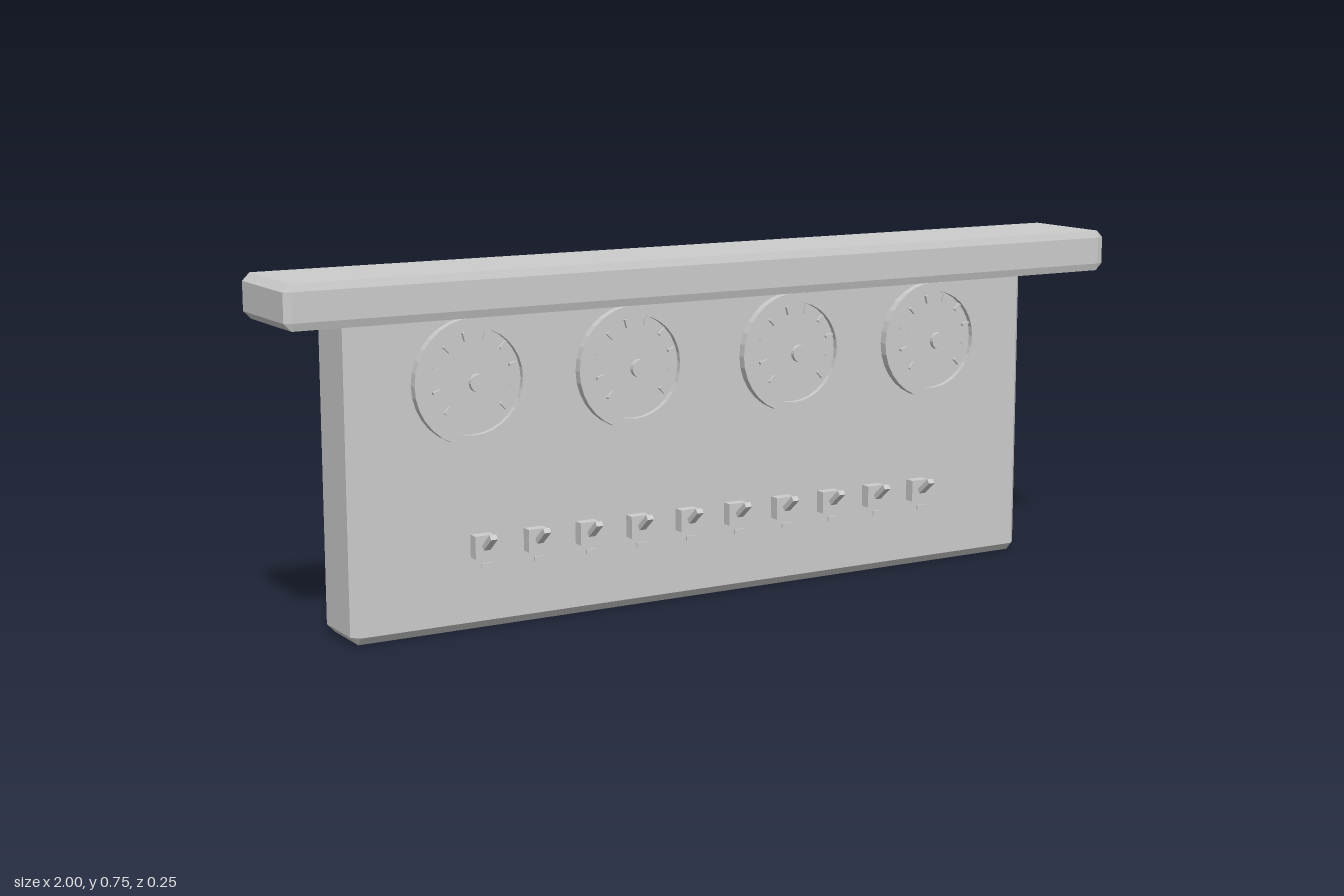
import * as THREE from 'three';
import { ConvexGeometry } from 'three/addons/geometries/ConvexGeometry.js';

const grey = new THREE.MeshStandardMaterial({ color: 0xcccccc });
grey.name = 'plain grey';

function add(parent, name, geometry, x = 0, y = 0, z = 0) {
  const mesh = new THREE.Mesh(geometry, grey);
  mesh.name = name;
  mesh.position.set(x, y, z);
  parent.add(mesh);
  return mesh;
}

// Box with every edge cut off; c is the cut along each axis
function chamferBox(w, h, d, c) {
  const half = [w / 2, h / 2, d / 2];
  const points = [];
  for (const sx of [-1, 1]) for (const sy of [-1, 1]) for (const sz of [-1, 1]) {
    const s = [sx, sy, sz];
    for (let face = 0; face < 3; face++) {
      points.push(new THREE.Vector3(...half.map((v, i) => s[i] * (i === face ? v : v - c[i]))));
    }
  }
  return new ConvexGeometry(points);
}

function flat(geometry) {
  const g = geometry.toNonIndexed();
  g.computeVertexNormals();
  return g;
}

// Shared gauge and switch parts
const rimProfile = [[0.131, 0.03], [0.131, 0.052], [0.11, 0.052], [0.11, 0.04]]
  .map(([r, y]) => new THREE.Vector2(r, y));
const rimGeo = flat(new THREE.LatheGeometry(rimProfile, 32).rotateX(Math.PI / 2));
const dialGeo = new THREE.CircleGeometry(0.111, 32);
const hubGeo = flat(new THREE.CylinderGeometry(0.019, 0.019, 0.011, 16).rotateX(Math.PI / 2));
const tickGeo = new THREE.BoxGeometry(0.018, 0.0055, 0.007);
const bodyGeo = new THREE.BoxGeometry(0.043, 0.048, 0.024);
const leverGeo = new THREE.BoxGeometry(0.015, 0.0115, 0.046);
const labelGeo = new THREE.BoxGeometry(0.025, 0.01, 0.004);

function makeGauge(x) {
  const gauge = new THREE.Group();
  gauge.name = 'gauge';
  gauge.position.set(x, 0.523, 0);
  add(gauge, 'gaugeRim', rimGeo);
  add(gauge, 'gaugeDial', dialGeo, 0, 0, 0.04);
  add(gauge, 'needleHub', hubGeo, 0, 0, 0.071);
  // Ten ticks sweep three quarters of the dial, open at the bottom
  for (let i = 0; i < 10; i++) {
    const a = THREE.MathUtils.degToRad(-45 + 30 * i);
    const tick = add(gauge, 'tick', tickGeo, 0.088 * Math.cos(a), 0.009 + 0.088 * Math.sin(a), 0.057);
    tick.rotation.z = a;
  }
  return gauge;
}

function makeSwitch(x) {
  const toggle = new THREE.Group();
  toggle.name = 'toggleSwitch';
  toggle.position.x = x;
  add(toggle, 'switchBody', bodyGeo, 0, 0.181, 0.051);
  add(toggle, 'switchLever', leverGeo, 0, 0.195, 0.086).rotation.x = -0.68;
  add(toggle, 'switchLabel', labelGeo, 0, 0.144, 0.069);
  return toggle;
}

export function createModel() {
  const model = new THREE.Group();
  model.name = 'instrumentPanel';

  // Upright panel and the overhanging hood above it
  add(model, 'panel', chamferBox(1.68, 0.673, 0.157, [0.017, 0.018, 0.017]), 0, 0.3365, -0.0455);
  add(model, 'hood', chamferBox(2, 0.092, 0.228, [0.016, 0.016, 0.005]), 0, 0.709, 0.011);

  for (const x of [-0.572, -0.2, 0.2, 0.572]) model.add(makeGauge(x));
  for (let i = 0; i < 10; i++) model.add(makeSwitch(-0.559 + 0.1215 * i));

  return model;
}
